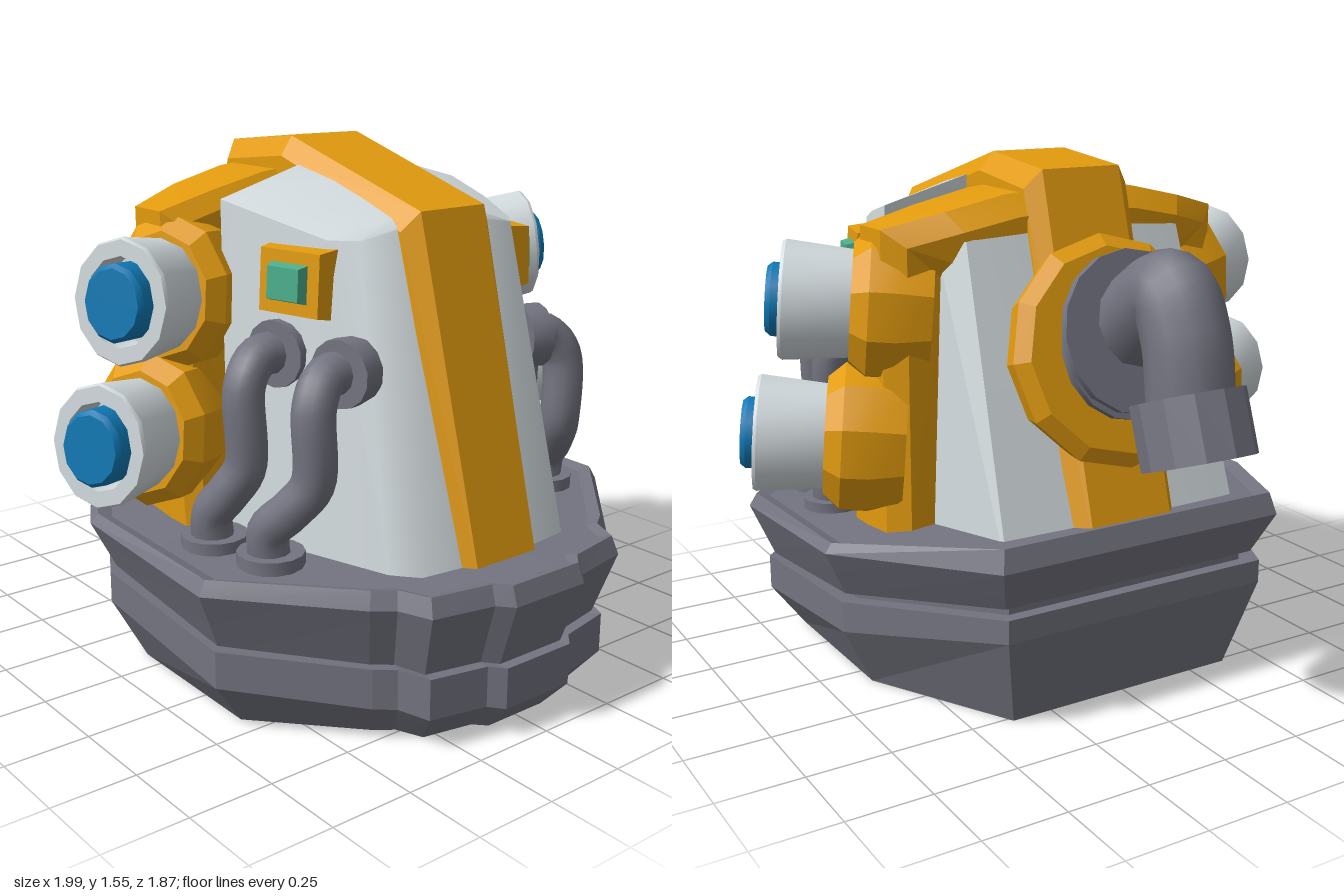
import * as THREE from 'three';
import { toCreasedNormals } from 'three/addons/utils/BufferGeometryUtils.js';

const material = (name, color) => Object.assign(new THREE.MeshStandardMaterial({ color }), { name });
const V = (x, y, z) => new THREE.Vector3(x, y, z);

// Turns a closed solid outward and gives it creased normals
function finish(geometry, crease = 0.5) {
  const geo = geometry.index ? geometry.toNonIndexed() : geometry;
  const p = geo.attributes.position;
  const a = V(), b = V(), c = V();
  let volume = 0;
  for (let i = 0; i < p.count; i += 3) {
    a.fromBufferAttribute(p, i); b.fromBufferAttribute(p, i + 1); c.fromBufferAttribute(p, i + 2);
    volume += a.dot(b.cross(c));
  }
  if (volume < 0) {
    for (let i = 0; i < p.count; i += 3) {
      b.fromBufferAttribute(p, i + 1); c.fromBufferAttribute(p, i + 2);
      p.setXYZ(i + 1, c.x, c.y, c.z); p.setXYZ(i + 2, b.x, b.y, b.z);
    }
  }
  geo.deleteAttribute('normal');
  geo.deleteAttribute('uv');
  return toCreasedNormals(geo, crease);
}

// Skins a list of equal closed rings and caps both ends
function loft(rings, crease) {
  const pts = [];
  const n = rings[0].length;
  for (let r = 0; r < rings.length - 1; r++) {
    for (let i = 0; i < n; i++) {
      const j = (i + 1) % n;
      const [a, b, c, d] = [rings[r][i], rings[r][j], rings[r + 1][j], rings[r + 1][i]];
      pts.push(a, b, c, a, c, d);
    }
  }
  const cap = (ring, flip) => {
    const mid = ring.reduce((s, v) => s.add(v), V(0, 0, 0)).divideScalar(n);
    ring.forEach((v, i) => {
      const w = ring[(i + 1) % n];
      pts.push(mid, flip ? w : v, flip ? v : w);
    });
  };
  cap(rings[0], true);
  cap(rings[rings.length - 1], false);
  return finish(new THREE.BufferGeometry().setFromPoints(pts), crease);
}

// Completes a half ring with its mirror image across z = 0
const mirrorRing = half => [...half, ...half.map(v => V(v.x, v.y, -v.z)).reverse()];

export function createModel() {
  const model = new THREE.Group();
  const grey = material('metal grey', 0x747481);
  const orange = material('orange', 0xe29b0e);
  const white = material('pale shell', 0xd3dbde);
  const blue = material('blue lens', 0x0e79b5);
  const green = material('green glass', 0x4bad8b);

  const add = (name, geo, mat) => {
    const mesh = new THREE.Mesh(geo, mat);
    mesh.name = name;
    model.add(mesh);
    return mesh;
  };
  // Turned part: profile of [radius, height] pairs, from a point along a direction;
  // width narrows it sideways into an oval
  const turned = (name, profile, sides, mat, at, dir, crease, width = 1) => {
    const pts = profile.map(([r, h]) => new THREE.Vector2(r, h));
    const mesh = add(name, finish(new THREE.LatheGeometry(pts, sides), crease), mat);
    const y = dir.clone().normalize();
    const x = y.clone().cross(V(0.01, 1, 0)).normalize();
    mesh.position.copy(at);
    mesh.quaternion.setFromRotationMatrix(new THREE.Matrix4().makeBasis(x, y, x.clone().cross(y)));
    mesh.scale.x = width;
  };
  const disc = (r0, r1, h) => [[0, 0], [r0, 0], [r1, h], [0, h]];
  const tube = (name, pts, radius) =>
    add(name, new THREE.TubeGeometry(new THREE.CatmullRomCurve3(pts), 32, radius, 12), grey);

  // Base: one outline, scaled and tilted layer by layer
  const outline = [[-0.63, 0.47], [-0.12, 0.765], [0.47, 0.775], [0.79, 0.46], [0.83, 0.4], [0.92, 0.36], [0.955, 0.17], [0.995, 0.13]];
  const layers = [
    [0.86, 0.8, 0, 0, 0],
    [0.96, 0.93, 0.28, 0.19, 0.09],
    [0.96, 0.93, 0.35, 0.285, 0.21],
    [0.89, 0.86, 0.34, 0.28, 0.2],
    [0.89, 0.86, 0.38, 0.315, 0.22],
    [0.92, 0.91, 0.37, 0.305, 0.21],
    [1, 1, 0.5, 0.45, 0.4],
    [0.975, 0.97, 0.565, 0.475, 0.455],
    [0.93, 0.92, 0.545, 0.46, 0.445],
  ];
  add('base', loft(layers.map(([sx, sz, yl, ym, yr]) => mirrorRing(outline.map(([x, z]) => {
    const y = x < -0.1 ? yl + (ym - yl) * (x + 0.63) / 0.53 : ym + (yr - ym) * (x + 0.1) / 1.095;
    return V(0.18 + (x - 0.18) * sx, y, z * sz);
  }))), 0.15), grey);

  // Shell: curved front and flat sloping rear
  add('frontShell', loft([
    [V(0.17, 0.42, 0.47), V(0.45, 0.42, 0.42), V(0.72, 0.42, 0.33), V(0.79, 0.42, 0.27), V(0.81, 0.42, 0.1)],
    [V(0.11, 1.4, 0.44), V(0.3, 1.36, 0.395), V(0.46, 1.32, 0.34), V(0.525, 1.32, 0.28), V(0.545, 1.35, 0.1)],
    [V(0.11, 1.475, 0.17), V(0.25, 1.445, 0.16), V(0.4, 1.4, 0.15), V(0.5, 1.37, 0.14), V(0.54, 1.36, 0.08)],
  ].map(mirrorRing), 0.9), white);
  add('rearShell', loft([
    [V(0.125, 0.42, 0.42), V(-0.1, 0.42, 0.45), V(-0.54, 0.42, 0.4), V(-0.55, 0.42, 0.1)],
    [V(0.07, 1.33, 0.38), V(-0.15, 1.33, 0.41), V(-0.24, 1.33, 0.36), V(-0.26, 1.38, 0.1)],
  ].map(mirrorRing), 0.2), white);

  // Bevelled stripe running over the shell from rear to front
  const stripePath = [[-0.575, 0.45], [-0.265, 1.52], [0.02, 1.55], [0.58, 1.39], [0.835, 0.42]];
  add('centreStripe', loft(stripePath.map(([x, y], i) => {
    const w = 0.18 - i * 0.006;
    const m = [x * 0.93 + 0.01, i % 4 ? y - 0.055 : y], k = [x * 0.7, i % 4 ? y - 0.25 : y];
    return mirrorRing([V(k[0], k[1], w), V(m[0], m[1], w), V(x, y, w - 0.045)]);
  }), 0.15), orange);

  // Big elbow pipe on the sloping rear, with mount and flanges
  const out = V(-0.96, 0.27, 0);
  turned('pipeMount', [[0, 0], [0.31, 0], [0.335, 0.08], [0.295, 0.11], [0, 0.11]], 12, orange, V(-0.375, 1.0, 0), out, 0.3);
  turned('innerFlange', disc(0.21, 0.21, 0.025), 16, grey, V(-0.5, 1.045, 0), out);
  turned('flangeNeck', disc(0.17, 0.16, 0.12), 16, grey, V(-0.44, 1.04, 0), out);
  turned('outerFlange', disc(0.23, 0.23, 0.025), 16, grey, V(-0.53, 1.09, 0), out);
  tube('bigPipe', [V(-0.5, 1.09, 0), V(-0.61, 1.175, 0), V(-0.71, 1.225, 0), V(-0.775, 1.12, 0), V(-0.81, 0.9, 0)], 0.12);
  turned('pipeMouth', [[0, 0], [0.158, 0], [0.158, 0.18], [0.125, 0.18], [0.125, 0.04], [0, 0.04]],
    12, grey, V(-0.79, 0.965, 0), V(-0.34, -0.94, 0));

  for (const s of [1, -1]) {
    // Bevelled collar arching down each side
    const stations = [
      [-0.27, 0.03, 1.47, 0, 1.25, 0],
      [-0.26, 0.04, 1.45, 0.22, 1.25, 0.15],
      [-0.24, 0.04, 1.41, 0.4, 1.23, 0.28],
      [-0.18, 0.035, 1.365, 0.57, 1.2, 0.38],
      [-0.17, 0.135, 0.42, 0.57, 0.42, 0.38],
    ];
    add('collar', loft(stations.map(([xl, xr, yo, zo, yi, zi]) => {
      const p = (x, t) => V(x, yo + (yi - yo) * t, (zo + (zi - zo) * t) * s);
      return [p(xl, 1), p(xl, 0.3), p(xl + 0.05, 0), p(xr - 0.035, 0), p(xr, 0.25), p(xr, 1)];
    }), 0.15), orange);

    // Twin oval lamps
    const aim = V(0.43, 0.08, 0.9 * s).normalize();
    for (const tip of [V(0.105, 1.15, 0.755 * s), V(0.115, 0.765, 0.845 * s)]) {
      const along = d => tip.clone().addScaledVector(aim, d);
      turned('lampHousing', [[0, 0], [0.2, 0], [0.225, 0.1], [0.225, 0.18], [0.18, 0.23], [0, 0.23]],
        10, orange, along(-0.41), aim, 0.3, 0.86);
      turned('lampBarrel', [[0, 0], [0.155, 0], [0.176, 0.235], [0.17, 0.245], [0.125, 0.245], [0.12, 0.15], [0, 0.15]],
        12, white, along(-0.225), aim, 0.55, 0.86);
      turned('lampLens', [[0, 0], [0.108, 0], [0.108, 0.155], [0.096, 0.17], [0, 0.17]],
        12, blue, along(-0.11), aim, 0.55, 0.88);
    }

    // Two bent side pipes with flanges
    const sidePipes = [
      [V(0.32, 1.0, 0.38), V(0.322, 0.995, 0.47), V(0.335, 0.93, 0.525), V(0.34, 0.7, 0.53), V(0.3, 0.62, 0.56), V(0.255, 0.55, 0.585), V(0.25, 0.44, 0.575)],
      [V(0.54, 0.98, 0.33), V(0.55, 0.975, 0.42), V(0.57, 0.91, 0.47), V(0.57, 0.7, 0.475), V(0.52, 0.62, 0.51), V(0.46, 0.55, 0.54), V(0.455, 0.44, 0.53)],
    ];
    for (const pts of sidePipes) {
      const path = pts.map(v => V(v.x, v.y, v.z * s));
      tube('sidePipe', path, 0.06);
      turned('pipeTopFlange', disc(0.095, 0.095, 0.07), 14, grey, path[0].clone().add(V(0, 0, -0.02 * s)), V(0.25, 0, s));
      turned('pipeFootFlange', disc(0.095, 0.095, 0.05), 14, grey, path[6], V(0, 1, 0));
    }

    // Framed green indicator, bevelled frame then glass
    const block = (name, w, h, d0, d1, inset, mat) => {
      const ring = (d, k) => [[-1, -1], [1, -1], [1, 1], [-1, 1]].map(([i, j]) => V(i * (w - k), j * (h - k), d));
      const mesh = add(name, loft([ring(d0, 0), ring(d1, inset)], 0.1), mat);
      mesh.position.set(0.39, 1.205, 0.388 * s);
      mesh.rotation.set(-0.05 * s, s > 0 ? 0.27 : Math.PI - 0.27, 0);
    };
    block('indicatorFrame', 0.11, 0.098, -0.05, 0.035, 0.012, orange);
    block('indicatorGlass', 0.07, 0.062, 0, 0.065, 0.018, green);
  }
  return model;
}
